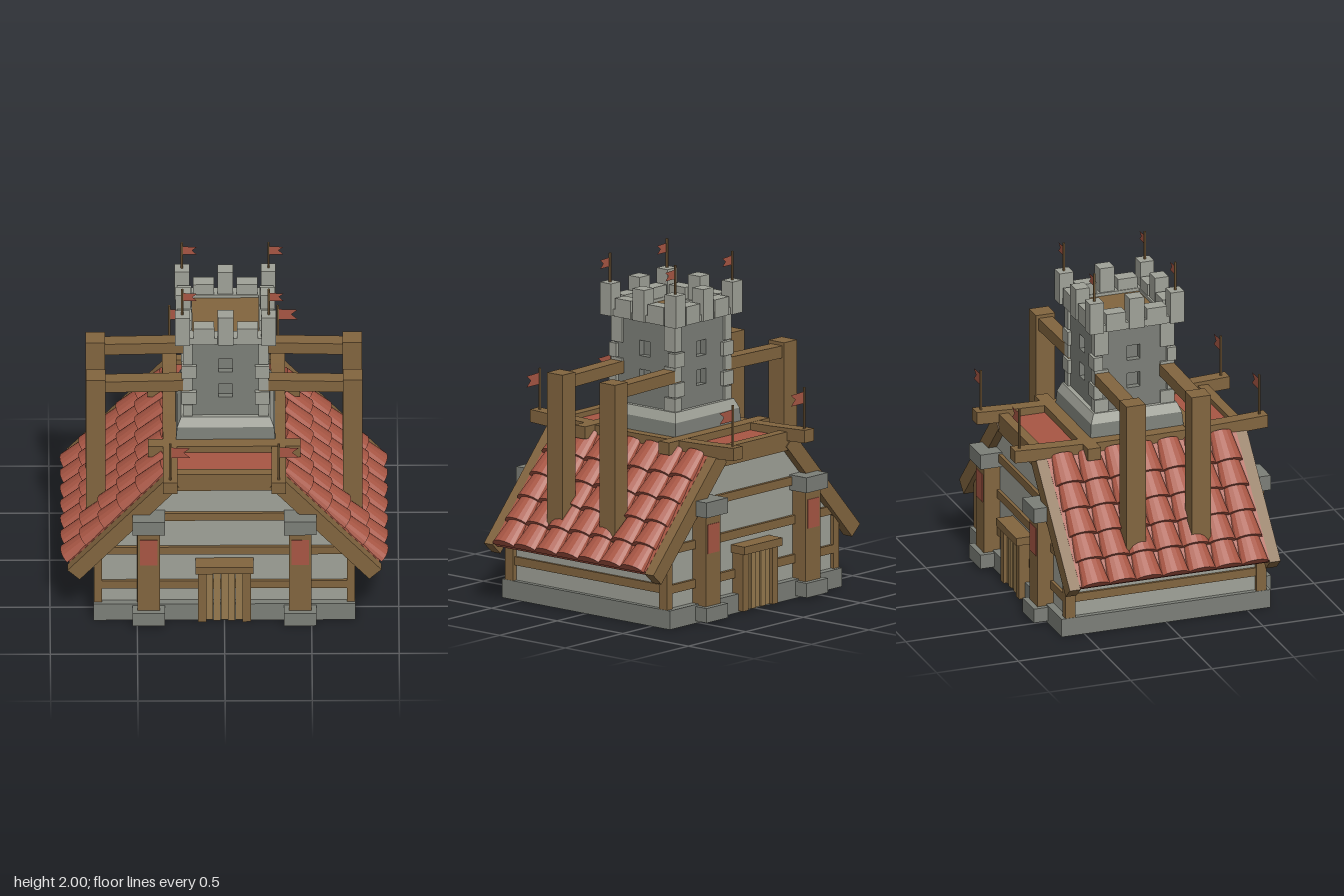
import * as THREE from 'three';

const mat = (color, side = THREE.FrontSide) =>
  new THREE.MeshStandardMaterial({ color, flatShading: true, side });
const WOOD = mat(0x82653f), DOOR = mat(0x967a4e), TILE = mat(0xa85644), CLOTH = mat(0xa85644, THREE.DoubleSide);
const STONE = mat(0x7c7f78), PALE = mat(0xa0a298), PLASTER = mat(0xa0a298);

export function createModel() {
  const model = new THREE.Group();

  function add(parent, name, geo, material) {
    const mesh = new THREE.Mesh(geo, material);
    mesh.name = name;
    parent.add(mesh);
    return mesh;
  }
  // Box given by its min and max on each axis
  function box(parent, name, material, x0, x1, y0, y1, z0, z1) {
    const m = add(parent, name, new THREE.BoxGeometry(x1 - x0, y1 - y0, z1 - z0), material);
    m.position.set((x0 + x1) / 2, (y0 + y1) / 2, (z0 + z1) / 2);
    return m;
  }
  // Square frustum from half-width a at y0 to half-width b at y1
  function frustum(parent, name, material, a, b, y0, y1) {
    const g = new THREE.CylinderGeometry(b * Math.SQRT2, a * Math.SQRT2, y1 - y0, 4);
    g.rotateY(Math.PI / 4);
    add(parent, name, g, material).position.y = (y0 + y1) / 2;
  }
  // Pole with a swallow-tailed pennant
  function flag(parent, x, y, z, height, length, drop) {
    const g = new THREE.Group();
    g.name = 'flag';
    g.position.set(x, y, z);
    add(g, 'flagPole', new THREE.CylinderGeometry(0.008, 0.008, height, 6), WOOD).position.y = height / 2;
    const t = height - 0.025, s = new THREE.Shape();
    s.moveTo(0, t);
    s.lineTo(length, t - 0.005);
    s.lineTo(length * 0.68, t - drop * 0.5);
    s.lineTo(length, t - drop);
    s.lineTo(0, t - drop);
    add(g, 'pennant', new THREE.ShapeGeometry(s), CLOTH);
    parent.add(g);
  }

  // House body: plinth and gabled wall block
  const house = new THREE.Group();
  house.name = 'house';
  model.add(house);
  box(house, 'plinth', STONE, -0.75, 0.75, 0, 0.11, -0.64, 0.64);
  const wall = new THREE.Shape([[-0.72, 0.1], [0.72, 0.1], [0.72, 0.46], [0.34, 0.88], [0.34, 0.94],
    [-0.34, 0.94], [-0.34, 0.88], [-0.72, 0.46]].map(p => new THREE.Vector2(...p)));
  const wallGeo = new THREE.ExtrudeGeometry(wall, { depth: 1.19, bevelEnabled: false });
  wallGeo.translate(0, 0, -0.595);
  add(house, 'walls', wallGeo, PLASTER);

  // Two matching facades
  for (const turn of [0, Math.PI]) {
    const f = new THREE.Group();
    f.name = turn ? 'backFacade' : 'frontFacade';
    f.rotation.y = turn;
    house.add(f);
    for (const [y, w] of [[0.2, 0.72], [0.43, 0.71], [0.66, 0.5]])
      box(f, 'wallBeam', WOOD, -w, w, y, y + 0.05, 0.57, 0.615);
    box(f, 'ridgeEndBeam', WOOD, -0.35, 0.35, 0.88, 0.99, 0.58, 0.64);
    for (const s of [-1, 1]) {
      const c = new THREE.Group();
      c.name = 'column';
      c.position.x = s * 0.435;
      f.add(c);
      box(c, 'columnBase', STONE, -0.093, 0.093, 0.015, 0.1, 0.58, 0.727);
      box(c, 'columnShaft', WOOD, -0.065, 0.065, 0.1, 0.64, 0.58, 0.695);
      box(c, 'columnCap', STONE, -0.093, 0.093, 0.63, 0.72, 0.58, 0.725);
      box(c, 'banner', CLOTH, -0.05, 0.05, 0.41, 0.58, 0.69, 0.7);
      box(f, 'cornerPost', WOOD, s * 0.725 - 0.023, s * 0.725 + 0.023, 0.11, 0.44, 0.555, 0.617);
      box(f, 'doorPost', WOOD, s * 0.128 - 0.025, s * 0.128 + 0.025, 0.01, 0.35, 0.58, 0.675);
    }
    for (let i = 0; i < 5; i++)
      box(f, 'doorPlank', DOOR, -0.105 + i * 0.042, -0.065 + i * 0.042, 0.01, 0.35, 0.58, 0.652 + (i % 2) * 0.008);
    box(f, 'doorLintel', WOOD, -0.166, 0.166, 0.348, 0.395, 0.58, 0.697);
  }

  // Two matching sides: wall beam, tiled slope, bargeboards, tall posts
  for (const turn of [0, Math.PI]) {
    const side = new THREE.Group();
    side.name = turn ? 'rightSide' : 'leftSide';
    side.rotation.y = turn;
    model.add(side);
    box(side, 'sideBeam', WOOD, 0.7, 0.735, 0.2, 0.25, -0.57, 0.57);
    box(side, 'eaveBeam', WOOD, 0.7, 0.735, 0.4, 0.45, -0.57, 0.57);

    // Slope frame: local x points out of the roof, local y up the slope
    const slope = new THREE.Group();
    slope.name = 'roofSlope';
    slope.position.set(0.61, 0.655, 0);
    slope.rotation.z = 0.741;
    side.add(slope);
    box(slope, 'roofDeck', TILE, -0.035, 0.005, -0.41, 0.4, -0.58, 0.58);
    for (const s of [-1, 1])
      box(slope, 'bargeboard', WOOD, -0.09, 0.004, -0.425, 0.42, s * 0.613 - 0.033, s * 0.613 + 0.033);
    const tileGeo = new THREE.CylinderGeometry(0.066, 0.086, 0.19, 8, 1, false, 0, Math.PI);
    tileGeo.scale(0.65, 1, 1);
    for (let row = 0; row < 5; row++)
      for (let col = -3; col <= 3; col++) {
        const t = add(slope, 'roofTile', tileGeo, TILE);
        t.position.set(0.003, 0.305 - row * 0.158, col * 0.162);
        t.rotation.z = 0.07;
      }

    // Tall posts through the roof, tied to the tower
    for (const z of [-0.2, 0.2]) {
      const post = new THREE.BoxGeometry(0.112, 1.05, 0.118);
      add(side, 'tallPost', post, WOOD).position.set(0.737, 0.862, z);
      const tie = box(side, 'tieBeam', WOOD, 0.2, 0.7, 1.3, 1.372, z - 0.043, z + 0.043);
      tie.rotation.z = -0.02;
    }
  }

  // Roof top: flat deck, sagging long beams, cross beams
  const top = new THREE.Group();
  top.name = 'roofTop';
  model.add(top);
  box(top, 'flatRoof', TILE, -0.29, 0.29, 0.92, 0.96, -0.59, 0.59);
  for (const s of [-1, 1]) {
    const g = new THREE.BoxGeometry(0.082, 0.075, 1.55, 1, 1, 6);
    const p = g.attributes.position;
    for (let i = 0; i < p.count; i++) p.setY(i, p.getY(i) + 0.035 * p.getZ(i) ** 2);
    add(top, 'longBeam', g, WOOD).position.set(s * 0.311, 0.96, 0);
    box(top, 'crossBeam', WOOD, -0.437, 0.437, 0.93, 1.003, s * 0.32 - 0.04, s * 0.32 + 0.04);
    for (const z of [-0.735, 0.735]) flag(top, s * 0.311, 1.0, z, 0.26, 0.115, 0.07);
  }

  // Tower
  const tower = new THREE.Group();
  tower.name = 'tower';
  tower.position.x = 0.008;
  model.add(tower);
  frustum(tower, 'towerFoot', STONE, 0.29, 0.278, 0.94, 1.08);
  frustum(tower, 'towerFootSlope', PALE, 0.278, 0.255, 1.08, 1.135);
  box(tower, 'towerCore', STONE, -0.19, 0.19, 1.1, 1.64, -0.19, 0.19);
  box(tower, 'parapetSlab', STONE, -0.26, 0.26, 1.635, 1.655, -0.26, 0.26);
  box(tower, 'towerFloor', WOOD, -0.2, 0.2, 1.65, 1.662, -0.2, 0.2);

  // Wall panel with two window openings, used on all four sides
  const panel = new THREE.Shape([[-0.23, 1.12], [0.23, 1.12], [0.23, 1.64], [-0.23, 1.64]].map(p => new THREE.Vector2(...p)));
  for (const y of [1.255, 1.425])
    panel.holes.push(new THREE.Path([[-0.04, y], [-0.04, y + 0.09], [0.04, y + 0.09], [0.04, y]].map(p => new THREE.Vector2(...p))));
  const panelGeo = new THREE.ExtrudeGeometry(panel, { depth: 0.04, bevelEnabled: false });
  panelGeo.translate(0, 0, 0.19);
  for (let i = 0; i < 4; i++) {
    const f = new THREE.Group();
    f.name = 'towerSide';
    f.rotation.y = i * Math.PI / 2;
    tower.add(f);
    add(f, 'towerWall', panelGeo, STONE);
    // Battlements: low, tall, low between corner blocks
    box(f, 'parapet', PALE, -0.24, 0.24, 1.64, 1.68, 0.19, 0.272);
    box(f, 'lowMerlon', PALE, -0.185, -0.065, 1.64, 1.748, 0.195, 0.278);
    box(f, 'tallMerlon', PALE, -0.045, 0.045, 1.64, 1.828, 0.2, 0.285);
    box(f, 'lowMerlon', PALE, 0.065, 0.185, 1.64, 1.748, 0.195, 0.278);
  }
  for (const sx of [-1, 1])
    for (const sz of [-1, 1]) {
      // Corner stones of alternating length
      [1.13, 1.22, 1.31, 1.395, 1.485].forEach((y, i) => {
        const lx = i % 2 ? 0.085 : 0.055, lz = i % 2 ? 0.055 : 0.085, out = 0.245 + (i % 2) * 0.008;
        const h = i === 4 ? 0.15 : 0.082;
        const q = add(tower, 'cornerStone', new THREE.BoxGeometry(lx, h, lz), PALE);
        q.position.set(sx * (out - lx / 2), y + h / 2, sz * (out - lz / 2));
      });
      const m = add(tower, 'cornerMerlon', new THREE.BoxGeometry(0.085, 0.19, 0.085), PALE);
      m.position.set(sx * 0.247, 1.735, sz * 0.247);
      flag(tower, sx * 0.248, 1.82, sz * 0.248, 0.18, 0.085, 0.055);
    }

  return model;
}
